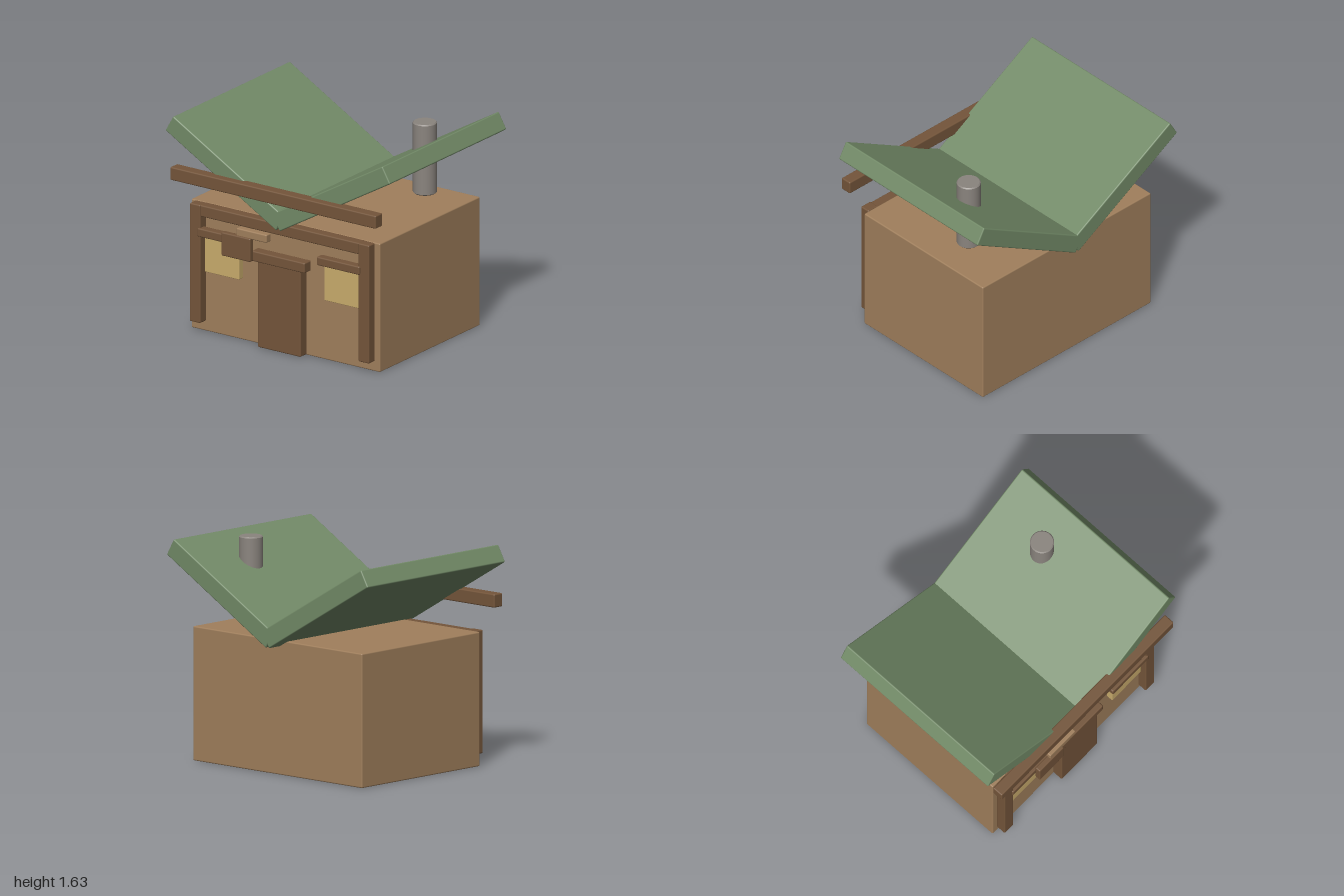
import * as THREE from 'three';
import { RoundedBoxGeometry } from 'three/addons/geometries/RoundedBoxGeometry.js';

export function createModel() {
  const model = new THREE.Group();
  model.name = 'hut';

  const material = (name, color) => {
    const m = new THREE.MeshStandardMaterial({ color });
    m.name = name;
    return m;
  };
  const wall = material('lightWood', 0xa07f5c);
  const wood = material('darkWood', 0x74553a);
  const green = material('roofGreen', 0x728a67);
  const glow = material('windowYellow', 0xc9ac6c);
  const stone = material('chimneyGrey', 0x8a847e);

  // Softly bevelled box given by its limits on each axis
  function box(name, mat, [x0, x1], [y0, y1], [z0, z1], radius = 0.01) {
    const geometry = new RoundedBoxGeometry(x1 - x0, y1 - y0, z1 - z0, 2, radius);
    const mesh = new THREE.Mesh(geometry, mat);
    mesh.name = name;
    mesh.position.set((x0 + x1) / 2, (y0 + y1) / 2, (z0 + z1) / 2);
    model.add(mesh);
    return mesh;
  }

  // Body and front frame
  box('body', wall, [-0.84, 0.84], [0, 0.99], [-0.65, 0.6]);
  box('frameBeam', wood, [-0.72, 0.72], [0.9, 0.988], [0.59, 0.672]);
  box('ridgeBeam', wood, [-0.915, 0.915], [1.165, 1.265], [0.672, 0.76]);

  // Mirrored posts, windows and roof slabs
  for (const s of [1, -1]) {
    const side = s > 0 ? 'left' : 'right';
    const span = (a, b) => (s > 0 ? [a, b] : [-b, -a]);
    box(side + 'Post', wood, span(0.703, 0.798), [0.08, 0.99], [0.6, 0.68]);
    box(side + 'Window', glow, span(0.378, 0.685), [0.475, 0.748], [0.595, 0.65], 0.005);
    box(side + 'WindowLintel', wood, span(0.34, 0.722), [0.75, 0.815], [0.625, 0.693]);

    const slab = box(side + 'RoofSlab', green, [-0.569, 0.569], [-0.07, 0.07], [-0.76, 0.7]);
    slab.position.x = s * 0.473;
    slab.position.y = 1.288;
    slab.rotation.z = s * Math.PI / 6;
  }

  // Door
  box('door', wood, [-0.192, 0.19], [0.005, 0.68], [0.595, 0.68]);
  box('doorLintel', wood, [-0.238, 0.236], [0.663, 0.742], [0.61, 0.695]);

  // Hanging sign and its bracket
  box('sign', wood, [-0.48, -0.222], [0.665, 0.845], [0.685, 0.732]);
  box('signBracket', wall, [-0.355, -0.085], [0.837, 0.9], [0.66, 0.72]);

  // Chimney with slightly bevelled rims
  const r = 0.088, h = 0.545, b = 0.008;
  const profile = [[0, 0], [r - b, 0], [r - b, 0], [r, b], [r, b], [r, h - b], [r, h - b], [r - b, h], [r - b, h], [0, h]]
    .map(([x, y]) => new THREE.Vector2(x, y));
  const chimney = new THREE.Group();
  chimney.name = 'chimney';
  // Separate bands keep the rims crisp
  for (let i = 0; i < profile.length; i += 2) {
    const band = new THREE.Mesh(new THREE.LatheGeometry(profile.slice(i, i + 2), 32), stone);
    band.name = 'chimneyBand';
    chimney.add(band);
  }
  chimney.position.set(0.62, 1.09, -0.27);
  model.add(chimney);

  return model;
}
